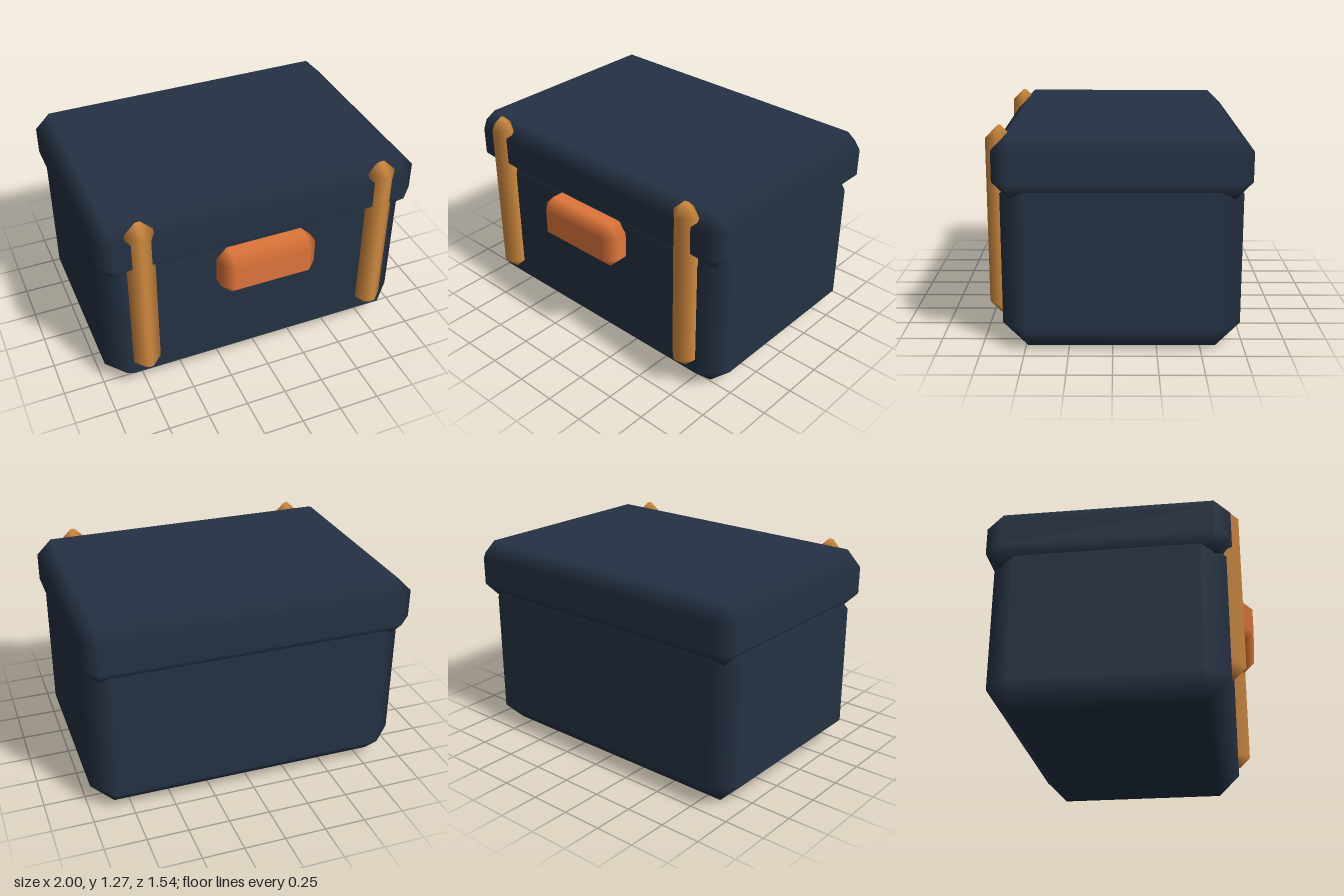
import * as THREE from 'three';

// Box between two corners with every edge cut at 45 degrees. Each flat keeps its
// own normal, so shading blends smoothly across the cuts.
function chamferBox(min, max, c) {
  const centre = min.map((m, i) => (m + max[i]) / 2);
  const half = min.map((m, i) => (max[i] - m) / 2);
  const pos = [], nor = [], index = [];
  const id = (axis, s) => axis * 8 + (s[0] > 0 ? 4 : 0) + (s[1] > 0 ? 2 : 0) + (s[2] > 0 ? 1 : 0);
  const signs = [-1, 1];

  // Three vertices near each corner, one per adjoining flat
  for (let axis = 0; axis < 3; axis++)
    for (const x of signs) for (const y of signs) for (const z of signs) {
      const s = [x, y, z];
      s.forEach((v, i) => {
        pos.push(centre[i] + v * (half[i] - (i === axis ? 0 : c)));
        nor.push(i === axis ? v : 0);
      });
    }

  // Triangle turned so that it faces along the given outward direction
  const point = (i) => new THREE.Vector3().fromArray(pos, i * 3);
  const tri = (a, b, d, out) => {
    const n = point(b).sub(point(a)).cross(point(d).sub(point(a)));
    if (n.dot(out) > 0) index.push(a, b, d);
    else index.push(a, d, b);
  };
  const quad = (a, b, d, e, out) => { tri(a, b, d, out); tri(a, d, e, out); };
  const at = (i, si, j, sj, k, sk) => {
    const s = [];
    s[i] = si; s[j] = sj; s[k] = sk;
    return s;
  };

  for (let i = 0; i < 3; i++) {
    const j = (i + 1) % 3, k = (i + 2) % 3;
    for (const p of signs) {
      // Flat across axis i
      const f = (a, b) => id(i, at(i, p, j, a, k, b));
      quad(f(-1, -1), f(1, -1), f(1, 1), f(-1, 1), new THREE.Vector3(...at(i, p, j, 0, k, 0)));
      // Cuts between the flats of axes i and j
      for (const q of signs) {
        const e = (axis, r) => id(axis, at(i, p, j, q, k, r));
        quad(e(i, -1), e(j, -1), e(j, 1), e(i, 1), new THREE.Vector3(...at(i, p, j, q, k, 0)));
      }
    }
  }
  // Corner triangles
  for (const x of signs) for (const y of signs) for (const z of signs) {
    const s = [x, y, z];
    tri(id(0, s), id(1, s), id(2, s), new THREE.Vector3(x, y, z));
  }

  const g = new THREE.BufferGeometry();
  g.setAttribute('position', new THREE.Float32BufferAttribute(pos, 3));
  g.setAttribute('normal', new THREE.Float32BufferAttribute(nor, 3));
  g.setIndex(index);
  return g;
}

export function createModel() {
  const material = (name, color) => {
    const m = new THREE.MeshStandardMaterial({ color });
    m.name = name;
    return m;
  };
  const navy = material('navy', 0x253244);
  const brass = material('brass', 0xd08a3e);
  const orange = material('orange', 0xe0763a);

  const chest = new THREE.Group();
  chest.name = 'chest';
  const add = (name, min, max, c, mat) => {
    const mesh = new THREE.Mesh(chamferBox(min, max, c), mat);
    mesh.name = name;
    chest.add(mesh);
  };

  add('body', [-0.98, 0, -0.73], [0.98, 1.04, 0.63], 0.14, navy);
  add('lid', [-1, 0.89, -0.77], [1, 1.245, 0.665], 0.093, navy);
  add('clasp', [-0.3, 0.655, 0.57], [0.3, 0.94, 0.77], 0.067, orange);

  // Upright straps on the front
  for (const [name, x] of [['leftStrap', 0.75], ['rightStrap', -0.75]])
    add(name, [x - 0.083, 0.17, 0.555], [x + 0.083, 1.27, 0.71], 0.07, brass);

  return chest;
}
